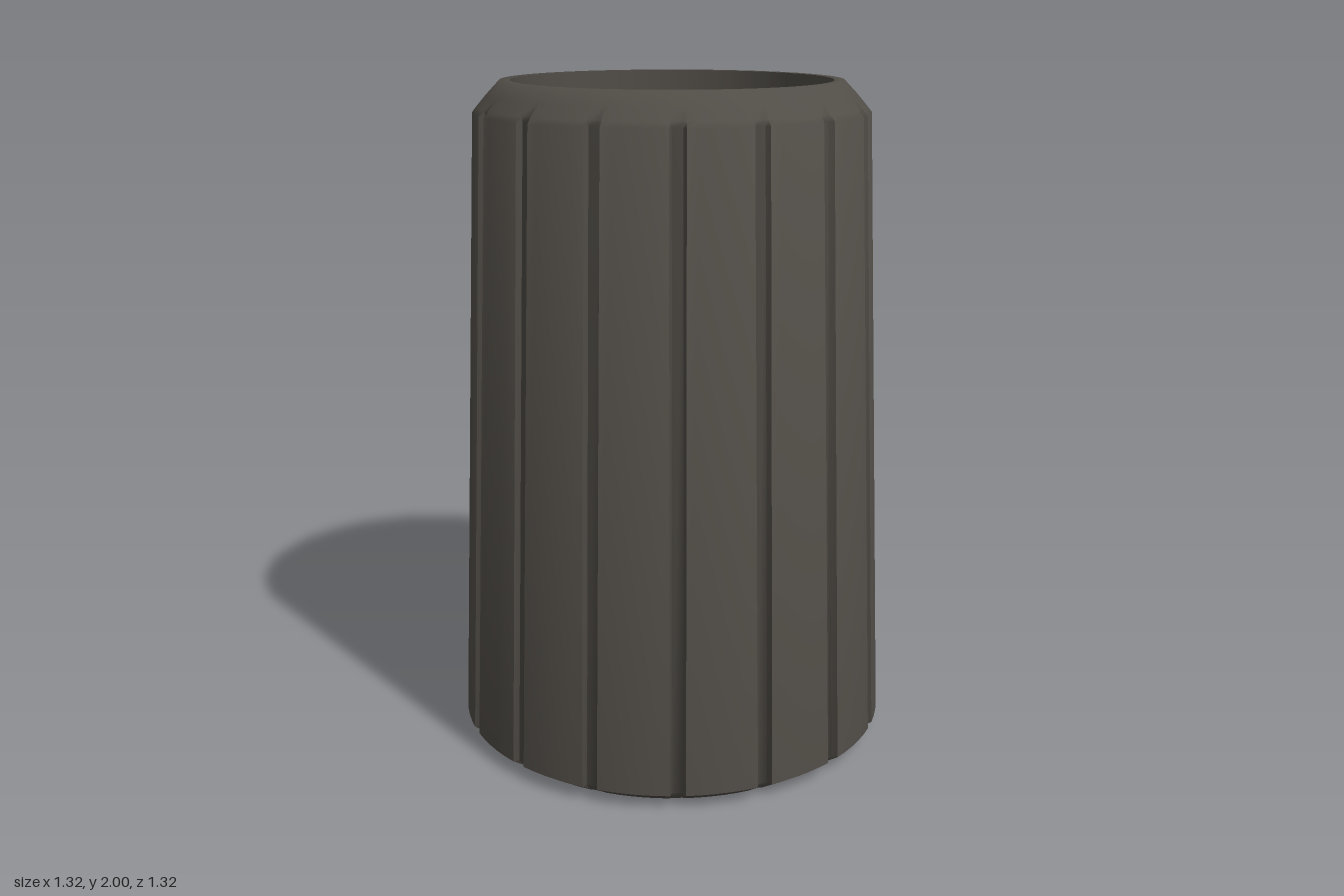
import * as THREE from 'three';
import { toCreasedNormals } from 'three/addons/utils/BufferGeometryUtils.js';

const FLUTES = 16;
const PANEL_STEPS = 5;

// Sweeps rings of [height, panel radius, groove radius] into a fluted skin.
function flutedSkin(rings) {
  const step = (Math.PI * 2) / FLUTES;
  const positions = [];
  const index = [];
  let count = 0;

  for (const [y, outer, groove] of rings) {
    const half = 0.023 / outer;
    const floorHalf = 0.016 / outer;
    const start = positions.length;
    for (let f = 0; f < FLUTES; f++) {
      const mid = f * step;
      const add = (angle, r) =>
        positions.push(Math.sin(mid + angle) * r, y, Math.cos(mid + angle) * r);
      // groove floor, then the rounded panel up to the next groove
      add(-floorHalf, groove);
      add(floorHalf, groove);
      for (let i = 0; i <= PANEL_STEPS; i++) {
        add(half + ((step - 2 * half) * i) / PANEL_STEPS, outer);
      }
    }
    count = (positions.length - start) / 3;
  }

  for (let i = 0; i < rings.length - 1; i++) {
    for (let j = 0; j < count; j++) {
      const k = (j + 1) % count;
      const a = i * count + j;
      const b = i * count + k;
      index.push(a, b, b + count, a, b + count, a + count);
    }
  }

  const geometry = new THREE.BufferGeometry();
  geometry.setAttribute('position', new THREE.Float32BufferAttribute(positions, 3));
  geometry.setIndex(index);
  return toCreasedNormals(geometry, 0.9);
}

export function createModel() {
  const group = new THREE.Group();
  group.name = 'flutedCup';
  const charcoal = new THREE.MeshStandardMaterial({ name: 'charcoal', color: 0x514d47 });

  const addPart = (name, geometry) => {
    const mesh = new THREE.Mesh(geometry, charcoal);
    mesh.name = name;
    group.add(mesh);
    return mesh;
  };

  // Tapered wall: foot chamfer, grooved body, sloping rim, smooth bore
  addPart('flutedWall', flutedSkin([
    [0, 0.595, 0.592],
    [0.045, 0.66, 0.643],
    [1.91, 0.58, 0.563],
    [1.925, 0.568, 0.566],
    [1.96, 0.538, 0.538],
    [2, 0.5, 0.5],
    [2, 0.47, 0.47],
    [0.1, 0.47, 0.47],
  ]));

  // Underside
  const base = addPart('base', new THREE.CircleGeometry(0.596, 96));
  base.rotation.x = Math.PI / 2;

  // Floor inside the cup
  const floor = addPart('innerFloor', new THREE.CircleGeometry(0.471, 96));
  floor.rotation.x = -Math.PI / 2;
  floor.position.y = 0.1;

  return group;
}
